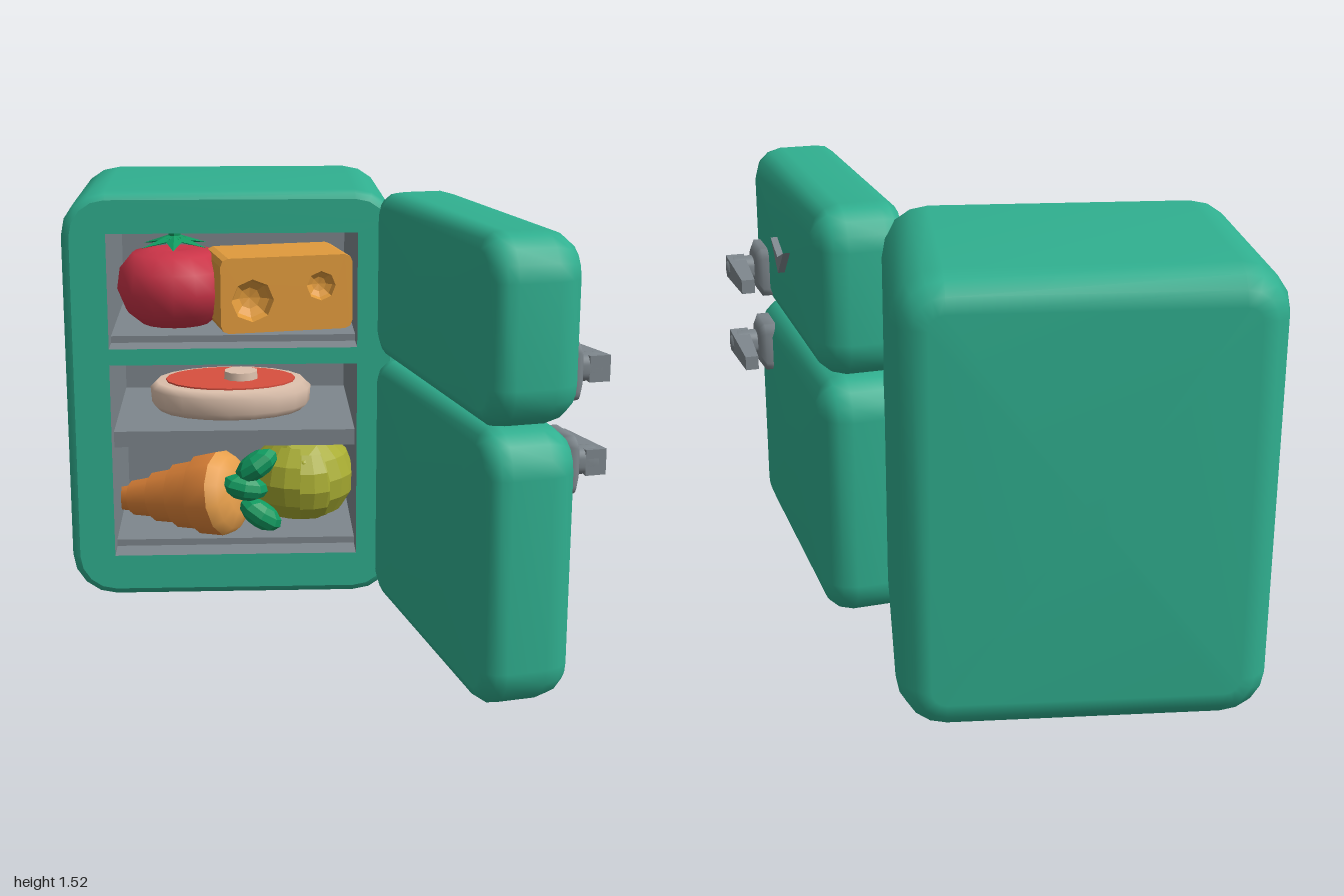
import * as THREE from 'three';

const mat = (name, color, extra = {}) => {
  const m = new THREE.MeshStandardMaterial({ color, ...extra });
  m.name = name;
  return m;
};

// Rounded rectangle outline, counter-clockwise
function outline(w, h, r, inset = 0, seg = 4) {
  const pts = [], rr = Math.max(r - inset, 0.03);
  const cx = w / 2 - inset - rr, cy = h / 2 - inset - rr;
  [[1, 1], [-1, 1], [-1, -1], [1, -1]].forEach(([sx, sy], q) => {
    for (let i = 0; i <= seg; i++) {
      const a = (q + i / seg) * Math.PI / 2;
      pts.push(new THREE.Vector2(sx * cx + rr * Math.cos(a), sy * cy + rr * Math.sin(a)));
    }
  });
  return pts;
}

// Soft box lofted through [z, inset] sections, back to front
function softBox(w, h, r, sections, frontCap = true) {
  const pos = [], idx = [], last = sections.length - 1;
  const rings = sections.map(([z, inset]) => outline(w, h, r, inset).map(p => [p.x, p.y, z]));
  const n = rings[0].length;
  rings.forEach(ring => ring.forEach(p => pos.push(...p)));
  pos.push(0, 0, sections[0][0], 0, 0, sections[last][0]);
  const back = n * (last + 1), front = back + 1;
  for (let j = 0; j < n; j++) {
    const k = (j + 1) % n;
    for (let i = 0; i < last; i++) {
      const a = i * n + j, b = i * n + k;
      idx.push(a, b, b + n, a, b + n, a + n);
    }
    idx.push(back, k, j);
    if (frontCap) idx.push(front, last * n + j, last * n + k);
  }
  const g = new THREE.BufferGeometry();
  g.setAttribute('position', new THREE.Float32BufferAttribute(pos, 3));
  g.setIndex(idx);
  g.computeVertexNormals();
  return g;
}

export function createModel() {
  const root = new THREE.Group();
  root.name = 'fridge';
  const both = { side: THREE.DoubleSide };
  const teal = mat('teal enamel', 0x30b090);
  const grey = mat('grey metal', 0x7e878d, both);
  const red = mat('tomato red', 0xcc3448, { flatShading: false });
  const green = mat('leaf green', 0x109a60, { ...both, flatShading: true });
  const gold = mat('cheese orange', 0xe09a3c, { ...both, flatShading: true });
  const orange = mat('carrot orange', 0xe5873a);
  const paleOrange = mat('carrot top orange', 0xe8a04c);
  const lime = mat('cabbage green', 0xa8ac32, { ...both, flatShading: true });
  const cream = mat('cream fat', 0xdcc0ac);
  const meat = mat('meat red', 0xd8503f);

  const add = (parent, name, geo, material, x = 0, y = 0, z = 0) => {
    const m = new THREE.Mesh(geo, material);
    m.name = name;
    m.position.set(x, y, z);
    parent.add(m);
    return m;
  };

  // Cabinet shell and its front frame with two openings
  const W = 1.21, H = 1.52, CX = -0.295, CY = 0.76;
  add(root, 'cabinet', softBox(W, H, 0.16,
    [[-1, 0.11], [-0.985, 0.06], [-0.95, 0.02], [-0.88, 0], [-0.135, 0], [-0.11, 0.01], [-0.1, 0.03]], false), teal, CX, CY, 0);
  const frame = new THREE.Shape(outline(W, H, 0.16, 0.03));
  const wells = [[0.95, 1.37], [0.16, 0.89]];
  for (const [y0, y1] of wells) {
    const x0 = -0.74 - CX, x1 = 0.16 - CX, a = y0 - CY, b = y1 - CY;
    frame.holes.push(new THREE.Path([[x0, a], [x0, b], [x1, b], [x1, a]].map(p => new THREE.Vector2(...p))));
    // Open-fronted lining
    const lining = new THREE.BoxGeometry(0.9, y1 - y0, 0.8);
    const ix = Array.from(lining.index.array);
    lining.setIndex([...ix.slice(0, 24), ...ix.slice(30)]);
    lining.clearGroups();
    add(root, 'lining', lining, grey, -0.29, (y0 + y1) / 2, -0.5);
    add(root, 'floorTray', new THREE.BoxGeometry(0.9, 0.025, 0.68), grey, -0.29, y0 + 0.0125, -0.55);
  }
  add(root, 'frontFrame', new THREE.ShapeGeometry(frame), teal, CX, CY, -0.1);
  add(root, 'middleShelf', new THREE.BoxGeometry(0.9, 0.06, 0.68), grey, -0.29, 0.58, -0.55);

  // Doors, swung open together
  const doors = new THREE.Group();
  doors.name = 'doors';
  doors.position.set(0.505, 0, 0.385);
  doors.rotation.y = THREE.MathUtils.degToRad(103);
  root.add(doors);
  const section = [[-0.155, 0.055], [-0.145, 0.025], [-0.115, 0.003], [-0.08, 0],
    [0.05, 0], [0.1, 0.014], [0.135, 0.045], [0.155, 0.1]];
  for (const [name, y0, y1, hy] of [['upper', 0.915, 1.52, 1.07], ['lower', 0, 0.912, 0.765]]) {
    add(doors, name + 'Door', softBox(1.21, y1 - y0, 0.14, section), teal, 0, (y0 + y1) / 2, 0);
    // Handle: plate, stem and tapering lever
    const handle = new THREE.Group();
    handle.name = name + 'Handle';
    handle.position.set(-0.39, hy, 0.15);
    doors.add(handle);
    add(handle, 'plate', softBox(0.2, 0.19, 0.035, [[-0.03, 0], [0.03, 0], [0.05, 0.03]]), grey);
    add(handle, 'stem', softBox(0.09, 0.085, 0.02, [[0, 0], [0.12, 0], [0.15, 0.015]]), grey, -0.02, 0, 0);
    const lever = new THREE.BoxGeometry(0.31, 0.085, 0.07);
    const p = lever.attributes.position;
    for (let i = 0; i < p.count; i++) if (p.getX(i) > 0) {
      p.setY(i, p.getY(i) * 0.62);
      p.setZ(i, p.getZ(i) * 0.7 + 0.005);
    }
    lever.computeVertexNormals();
    add(handle, 'lever', lever, grey, 0.09, 0, 0.11);
  }
  // Chevron trim with a raised centre fold
  const chevron = new THREE.ExtrudeGeometry(new THREE.Shape([[-0.115, 0.065], [0, -0.04], [0.115, 0.065], [0, 0.02]]
    .map(q => new THREE.Vector2(...q))), { depth: 0.035, bevelEnabled: false });
  add(doors, 'chevronTrim', chevron, grey, 0.01, 1.2, 0.145);

  // Tomato with star leaf and stem
  const tomato = new THREE.Group();
  tomato.name = 'tomato';
  tomato.position.set(-0.51, 0.975, -0.47);
  root.add(tomato);
  const tp = [[0, 0], [0.13, 0], [0.19, 0.05], [0.222, 0.13], [0.21, 0.21], [0.16, 0.27], [0.08, 0.285], [0, 0.27]];
  add(tomato, 'tomatoBody', new THREE.LatheGeometry(tp.map(q => new THREE.Vector2(...q)), 16), red);
  for (let i = 0; i < 6; i++) {
    const leaf = add(tomato, 'tomatoLeaf', new THREE.ConeGeometry(0.045, 0.14, 4).scale(1, 1, 0.35)
      .rotateX(Math.PI / 2).translate(0, 0, 0.075), green, 0, 0.325, 0);
    leaf.rotation.set(0.22, i * Math.PI / 3, 0, 'YXZ');
  }
  add(tomato, 'tomatoStem', new THREE.CylinderGeometry(0.032, 0.022, 0.1, 6), green, 0, 0.35, 0);

  // Cheese block with round hollows
  const cheese = new THREE.Group();
  cheese.name = 'cheese';
  cheese.position.set(-0.09, 1.12, -0.25);
  cheese.rotation.y = 0.2;
  root.add(cheese);
  const block = new THREE.Shape(outline(0.5, 0.28, 0.03, 0, 2));
  for (const [x, y, r] of [[-0.13, -0.02, 0.08], [0.13, 0.025, 0.055]]) {
    const pts = [];
    for (let i = 0; i < 8; i++) pts.push(new THREE.Vector2(x + r * Math.sin(i * Math.PI / 4), y + r * Math.cos(i * Math.PI / 4)));
    block.holes.push(new THREE.Path(pts));
    add(cheese, 'hollow', new THREE.SphereGeometry(r, 8, 3, 0, Math.PI * 2, Math.PI / 2, Math.PI / 2)
      .rotateX(Math.PI / 2).scale(1, 1, 0.8), gold, x, y, 0);
  }
  add(cheese, 'cheeseBlock', new THREE.ExtrudeGeometry(block, { depth: 0.3, bevelEnabled: false }), gold, 0, 0, -0.3);

  // Steak: cream rim, red face and a bone
  const steak = new THREE.Group();
  steak.name = 'steak';
  steak.position.set(-0.305, 0.69, -0.47);
  root.add(steak);
  const sp = [[0, -0.055], [0.28, -0.055], [0.305, -0.03], [0.31, 0.03], [0.285, 0.055], [0, 0.055]];
  add(steak, 'steakRim', new THREE.LatheGeometry(sp.map(q => new THREE.Vector2(...q)), 20).scale(1, 1, 0.75), cream);
  add(steak, 'steakFace', new THREE.CylinderGeometry(0.25, 0.25, 0.008, 20).scale(1, 1, 0.72), meat, 0, 0.057, 0);
  add(steak, 'bone', new THREE.CylinderGeometry(0.065, 0.08, 0.16, 10), cream, 0.04, 0.01, 0);

  // Carrot with stepped rings and leaf tufts
  const carrot = new THREE.Group();
  carrot.name = 'carrot';
  carrot.position.set(-0.27, 0.35, -0.27);
  carrot.quaternion.setFromUnitVectors(new THREE.Vector3(0, 1, 0), new THREE.Vector3(-0.87, -0.17, -0.42).normalize());
  root.add(carrot);
  const cp = [];
  for (let i = 0; i < 5; i++) {
    const r = 0.165 - i * 0.028, y = 0.07 + i * 0.1;
    cp.push(new THREE.Vector2(r, y), new THREE.Vector2(r - 0.012, y + 0.1));
  }
  cp.push(new THREE.Vector2(0, 0.61));
  add(carrot, 'carrotRoot', new THREE.LatheGeometry(cp, 12), orange);
  add(carrot, 'carrotTop', new THREE.LatheGeometry([[0, 0], [0.08, 0.005], [0.14, 0.03], [0.165, 0.07]]
    .map(q => new THREE.Vector2(...q)), 12), paleOrange);
  for (const [x, y, tilt] of [[-0.21, 0.47, 0.6], [-0.255, 0.385, -0.2], [-0.195, 0.275, -0.6]]) {
    const tuft = add(root, 'carrotLeaf', new THREE.SphereGeometry(0.09, 8, 6).scale(1, 0.56, 0.7), green, x, y, -0.22);
    tuft.rotation.z = tilt;
  }

  // Cabbage: core wrapped in overlapping leaves
  const cabbage = new THREE.Group();
  cabbage.name = 'cabbage';
  cabbage.position.set(-0.03, 0.36, -0.45);
  root.add(cabbage);
  add(cabbage, 'cabbageCore', new THREE.IcosahedronGeometry(0.185, 1), lime);
  for (let i = 0; i < 7; i++) {
    const leaf = add(cabbage, 'cabbageLeaf', new THREE.SphereGeometry(0.195 + (i % 2) * 0.012, 4, 4, -0.6, 1.2, 0.7, 1.7), lime);
    leaf.rotation.set(0, i * Math.PI * 2 / 7, 0.12 * (i % 3 - 1), 'YXZ');
    leaf.scale.y = 0.9;
  }
  return root;
}
